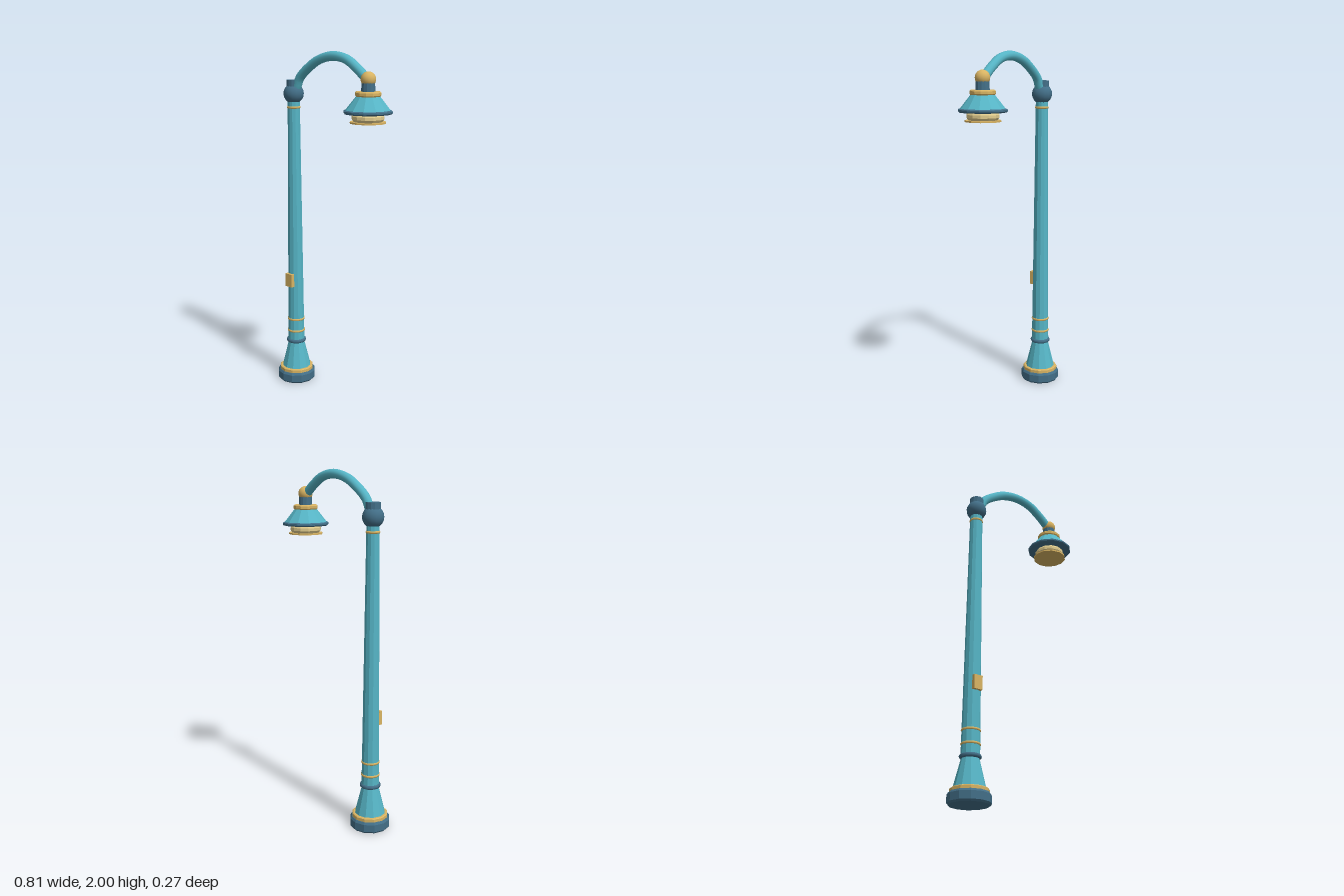
import * as THREE from 'three';

const material = (name, color) => {
  const m = new THREE.MeshStandardMaterial({ color });
  m.name = name;
  return m;
};

export function createModel() {
  const teal = material('teal paint', 0x56b5c6);
  const slate = material('slate blue paint', 0x436f88);
  const gold = material('gold trim', 0xd9b463);
  const cream = material('cream glass', 0xe2cd8e);

  const model = new THREE.Group();
  model.name = 'streetLamp';
  const post = new THREE.Group();
  post.name = 'post';
  post.position.x = -0.289;
  const lamp = new THREE.Group();
  lamp.name = 'lampHead';
  lamp.position.x = 0.27;
  model.add(post, lamp);

  const add = (parent, name, geometry, mat, y = 0) => {
    const mesh = new THREE.Mesh(geometry, mat);
    mesh.name = name;
    mesh.position.y = y;
    parent.add(mesh);
    return mesh;
  };
  // Faceted twelve-sided turned part, profile given as [radius, height] from bottom to top
  const turned = (parent, name, profile, mat) => {
    const points = profile.map(([r, y]) => new THREE.Vector2(r, y));
    const geometry = new THREE.LatheGeometry(points, 12).toNonIndexed();
    geometry.computeVertexNormals();
    return add(parent, name, geometry, mat);
  };
  // Rounded band around a vertical axis
  const band = (parent, name, radius, thickness, y, mat) => {
    const geometry = new THREE.TorusGeometry(radius, thickness, 8, 12);
    geometry.rotateX(Math.PI / 2);
    return add(parent, name, geometry, mat, y);
  };

  // Foot and flared base
  turned(post, 'foot', [[0, 0], [0.107, 0], [0.115, 0.01], [0.115, 0.052], [0.107, 0.064], [0, 0.064]], slate);
  turned(post, 'footTrim', [[0, 0.06], [0.103, 0.06], [0.103, 0.081], [0.098, 0.085], [0, 0.085]], gold);
  turned(post, 'flaredBase', [[0, 0.08], [0.088, 0.08], [0.046, 0.25], [0, 0.25]], teal);
  band(post, 'baseCollar', 0.047, 0.013, 0.251, slate);

  // Tapered pole with trim
  turned(post, 'pole', [[0, 0.24], [0.051, 0.24], [0.036, 1.72], [0, 1.72]], teal);
  [[0.316, 0.046], [0.391, 0.045], [1.68, 0.032]].forEach(([y, r], i) =>
    band(post, `poleBand${i + 1}`, r, 0.0085, y, gold));
  const plate = add(post, 'inspectionPlate', new THREE.BoxGeometry(0.052, 0.08, 0.022), gold, 0.645);
  plate.position.z = 0.05;

  // Pole finial
  add(post, 'finialBall', new THREE.SphereGeometry(0.059, 14, 10), slate, 1.758);
  turned(post, 'finialCap', [[0, 1.79], [0.041, 1.79], [0.041, 1.835], [0, 1.835]], slate);

  // Curved arm
  const path = new THREE.CatmullRomCurve3([
    [-0.262, 1.795], [-0.235, 1.85], [-0.17, 1.905], [-0.087, 1.952], [0.015, 1.974],
    [0.112, 1.96], [0.19, 1.915], [0.265, 1.855],
  ].map(([x, y]) => new THREE.Vector3(x, y, 0)));
  add(model, 'arm', new THREE.TubeGeometry(path, 32, 0.026, 12), teal);
  const armEnd = add(model, 'armEnd', new THREE.SphereGeometry(0.026, 12, 8), teal, 1.795);
  armEnd.position.x = -0.262;

  // Lamp joint and neck
  add(lamp, 'jointBall', new THREE.SphereGeometry(0.041, 16, 12), gold, 1.86);
  turned(lamp, 'neck', [[0, 1.78], [0.039, 1.78], [0.036, 1.845], [0, 1.845]], slate);
  turned(lamp, 'shadeCollar', [[0, 1.771], [0.066, 1.771], [0.07, 1.777], [0.07, 1.791], [0.065, 1.797], [0, 1.797]], gold);

  // Conical shade and rim
  turned(lamp, 'shade', [[0, 1.695], [0.126, 1.695], [0.062, 1.775], [0, 1.775]], teal);
  turned(lamp, 'shadeRim', [[0, 1.68], [0.128, 1.68], [0.133, 1.686], [0.133, 1.695], [0.125, 1.7], [0, 1.7]], slate);

  // Glass and lower trim
  turned(lamp, 'glass', [[0, 1.638], [0.078, 1.638], [0.088, 1.652], [0.088, 1.668], [0.08, 1.682], [0, 1.682]], cream);
  turned(lamp, 'lowerTrim', [[0, 1.63], [0.098, 1.63], [0.098, 1.639], [0, 1.639]], gold);

  return model;
}
